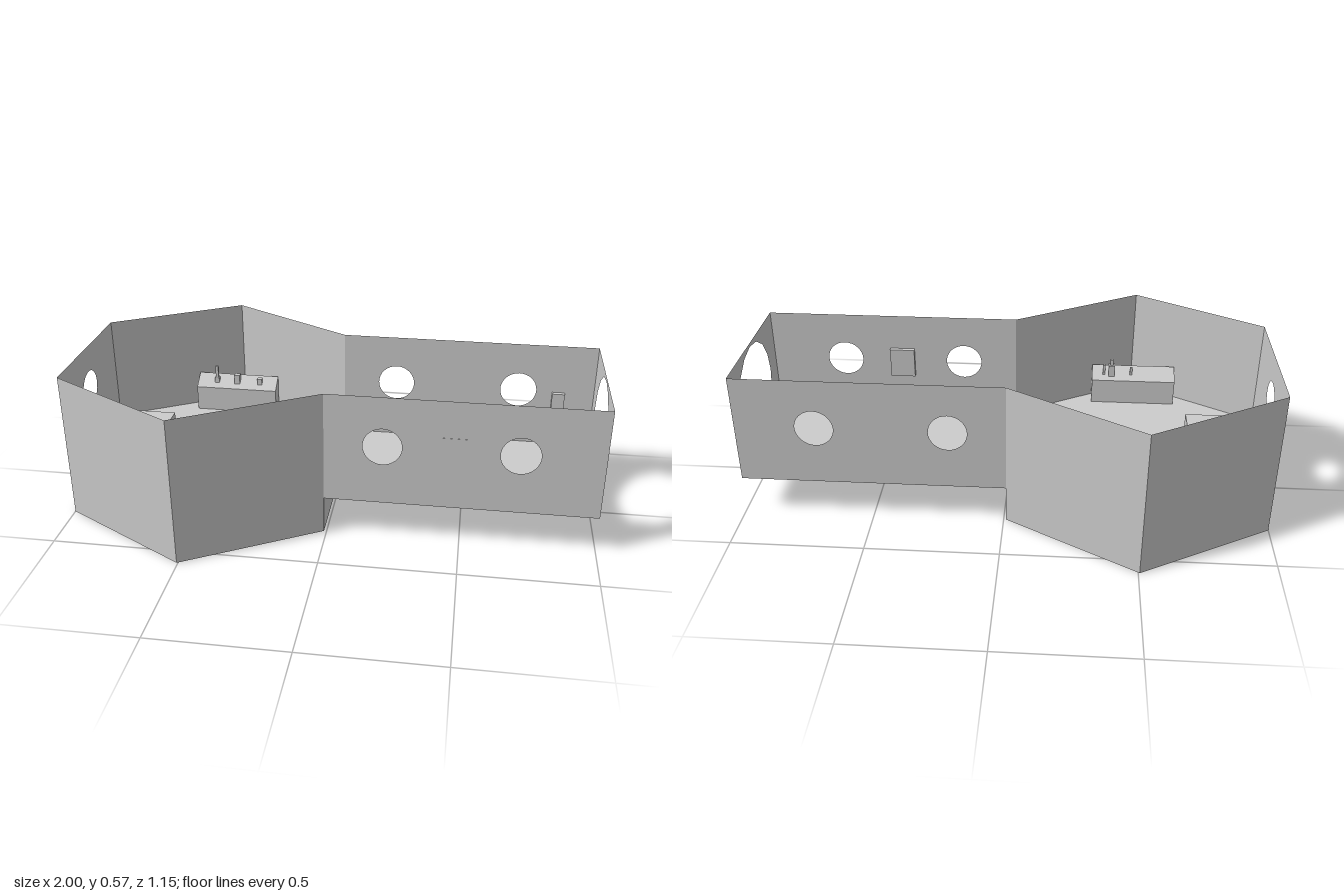
import * as THREE from 'three';

const H = 0.575;      // top of the walls
const FLOOR = 0.145;  // raised floor level
const grey = new THREE.MeshStandardMaterial({ color: 0xcccccc, side: THREE.DoubleSide, flatShading: true });

function add(group, name, geometry) {
  const mesh = new THREE.Mesh(geometry, grey);
  mesh.name = name;
  group.add(mesh);
  return mesh;
}

// Thin upright wall from a to b (x, z); holes are [distance along wall, y, radius, sides]
function wall(group, name, a, b, y0, holes = []) {
  const dx = b[0] - a[0], dz = b[1] - a[1], length = Math.hypot(dx, dz);
  const shape = new THREE.Shape([[0, y0], [length, y0], [length, H], [0, H]].map(p => new THREE.Vector2(...p)));
  for (const [d, y, r, sides] of holes) {
    const points = [];
    for (let i = 0; i < sides; i++) {
      const t = -i / sides * Math.PI * 2;
      points.push(new THREE.Vector2(d + r * Math.cos(t), y + r * Math.sin(t)));
    }
    shape.holes.push(new THREE.Path(points));
  }
  const mesh = add(group, name, new THREE.ShapeGeometry(shape));
  mesh.position.set(a[0], 0, a[1]);
  mesh.rotation.y = -Math.atan2(dz, dx);
}

// Flat horizontal sheet from an x, z outline
function sheet(group, name, outline, y) {
  const shape = new THREE.Shape(outline.map(([x, z]) => new THREE.Vector2(x, -z)));
  const geometry = new THREE.ShapeGeometry(shape).rotateX(-Math.PI / 2);
  add(group, name, geometry).position.y = y;
}

function box(group, name, x0, x1, y0, y1, z0, z1) {
  add(group, name, new THREE.BoxGeometry(x1 - x0, y1 - y0, z1 - z0))
    .position.set((x0 + x1) / 2, (y0 + y1) / 2, (z0 + z1) / 2);
}

// Control desk whose top rises towards the outer wall
function console_(group, name, side) {
  const profile = [[0.40, FLOOR], [0.465, FLOOR], [0.465, 0.292], [0.40, 0.25]];
  const shape = new THREE.Shape(profile.map(([z, y]) => new THREE.Vector2(-side * z, y)));
  const geometry = new THREE.ExtrudeGeometry(shape, { depth: 0.35, bevelEnabled: false });
  geometry.rotateY(Math.PI / 2);
  add(group, name, geometry).position.x = -0.68;
}

export function createModel() {
  const model = new THREE.Group();
  model.name = 'roomWithCorridor';
  const W = 0.287;

  // Six-sided room
  const hex = [[-1, W], [-0.505, 0.573], [-0.01, W], [-0.01, -W], [-0.505, -0.573], [-1, -W]];
  const room = new THREE.Group();
  room.name = 'room';
  model.add(room);
  wall(room, 'frontRightWall', hex[0], hex[1], 0);
  wall(room, 'frontLeftWall', hex[1], hex[2], 0);
  wall(room, 'backLeftWall', hex[3], hex[4], 0);
  wall(room, 'backRightWall', hex[4], hex[5], 0);
  wall(room, 'endWall', hex[5], hex[0], 0, [[W, 0.403, 0.072, 32]]);
  sheet(room, 'roomBase', hex, 0);
  sheet(room, 'roomFloor', hex, FLOOR);
  // Riser below the corridor opening
  const riser = add(room, 'riser', new THREE.PlaneGeometry(2 * W, FLOOR).rotateY(Math.PI / 2));
  riser.position.set(-0.01, FLOOR / 2, 0);

  // Corridor with round windows and a large doorway
  const corridor = new THREE.Group();
  corridor.name = 'corridor';
  model.add(corridor);
  const windows = [[0.215, 0.378, 0.072, 32], [0.71, 0.378, 0.072, 32]];
  wall(corridor, 'frontWall', [-0.01, W], [1, W], FLOOR, windows);
  wall(corridor, 'backWall', [-0.01, -W], [1, -W], FLOOR, windows);
  wall(corridor, 'doorwayWall', [1, W], [1, -W], FLOOR, [[W, 0.36, 0.201, 16]]);
  sheet(corridor, 'corridorFloor', [[-0.01, W], [1, W], [1, -W], [-0.01, -W]], FLOOR);

  // Wall panels
  box(corridor, 'frontPanel', 0.41, 0.51, 0.31, 0.43, 0.27, 0.288);
  box(corridor, 'backPanel', 0.835, 0.885, 0.305, 0.375, -0.287, -0.268);

  // Bench under the end window
  box(room, 'bench', -0.995, -0.705, FLOOR, 0.245, -0.143, 0.143);

  // Control desks and their switches: [x, half size, top]
  console_(room, 'backDesk', -1);
  console_(room, 'frontDesk', 1);
  const switches = {
    back: [[-0.595, 0.006, 0.34], [-0.595, 0.01, 0.288], [-0.505, 0.012, 0.305], [-0.405, 0.01, 0.292]],
    front: [[-0.495, 0.005, 0.3], [-0.412, 0.013, 0.31], [-0.412, 0.006, 0.335], [-0.38, 0.005, 0.31]],
  };
  for (const [name, list] of Object.entries(switches)) {
    const z = name === 'back' ? -0.434 : 0.43;
    for (const [x, s, top] of list) box(room, name + 'Switch', x - s, x + s, 0.26, top, z - s, z + s);
  }
  return model;
}
